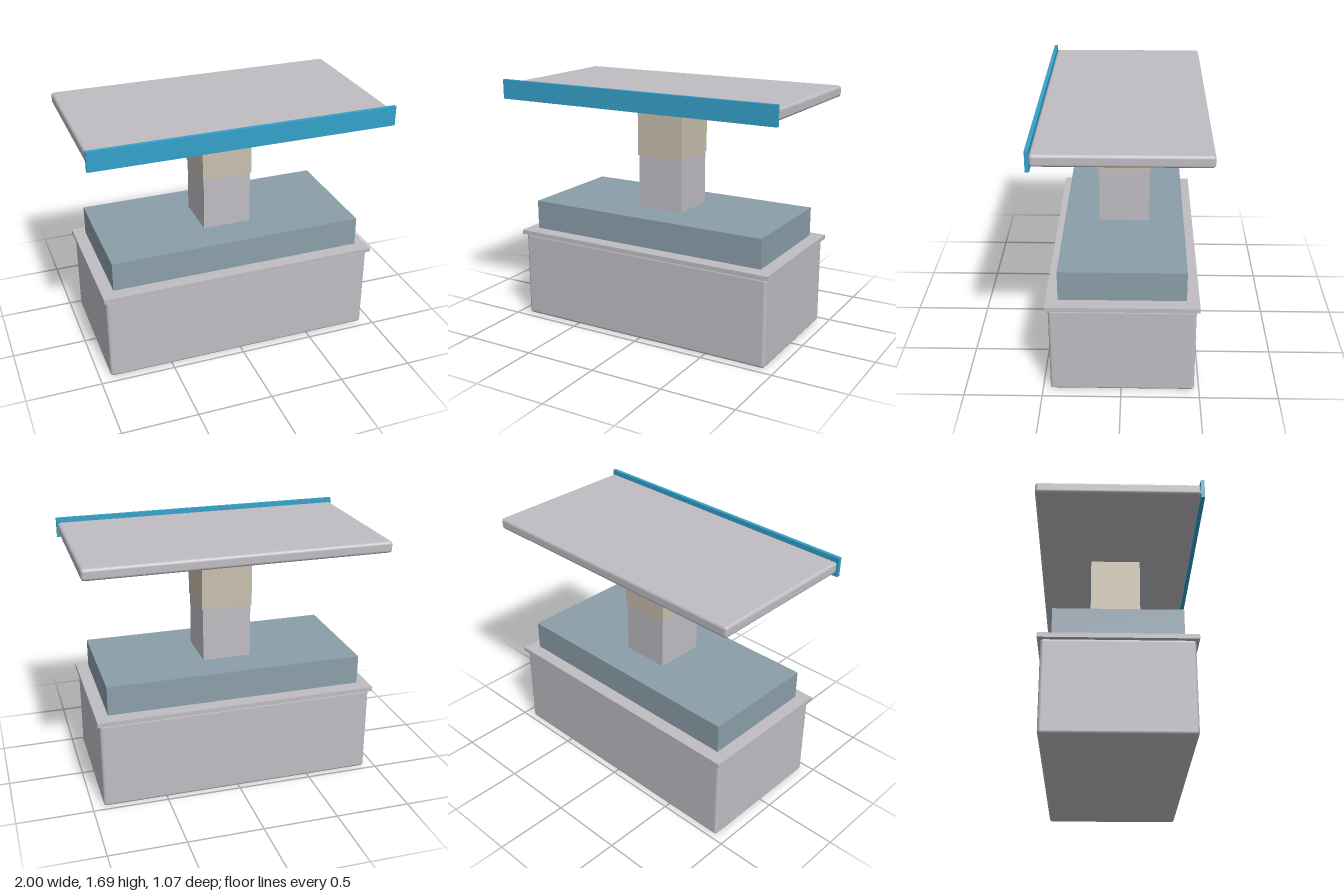
import * as THREE from 'three';
import { RoundedBoxGeometry } from 'three/addons/geometries/RoundedBoxGeometry.js';

const material = (name, color) => new THREE.MeshStandardMaterial({ name, color });

export function createModel() {
  const model = new THREE.Group();
  model.name = 'pedestalTable';

  const steel = material('light grey steel', 0xbfbdc3);
  const slate = material('blue grey', 0x8b9fa9);
  const beige = material('beige', 0xc9bfac);
  const blue = material('bright blue', 0x35a2cb);

  // Box given by width, bottom and top height, back and front depth; radius rounds its edges
  function addBox(name, mat, width, y0, y1, z0, z1, radius = 0) {
    const size = [width, y1 - y0, z1 - z0];
    const geometry = radius
      ? new RoundedBoxGeometry(...size, 3, radius)
      : new THREE.BoxGeometry(...size);
    const mesh = new THREE.Mesh(geometry, mat);
    mesh.name = name;
    mesh.position.set(0, (y0 + y1) / 2, (z0 + z1) / 2);
    model.add(mesh);
  }

  // Base cabinet with its overhanging lid
  addBox('baseCabinet', steel, 1.85, 0, 0.597, -0.468, 0.452, 0.02);
  addBox('baseLid', steel, 1.882, 0.597, 0.627, -0.488, 0.473);

  // Plinth, resting a hair above the lid
  addBox('plinth', slate, 1.72, 0.634, 0.832, -0.407, 0.393);

  // Telescopic column
  addBox('lowerColumn', steel, 0.326, 0.832, 1.21, -0.174, 0.159);
  addBox('upperColumn', beige, 0.34, 1.195, 1.592, -0.179, 0.164);

  // Table top and front fascia
  addBox('tableTop', steel, 1.984, 1.588, 1.664, -0.535, 0.514, 0.02);
  addBox('frontFascia', blue, 2, 1.562, 1.692, 0.511, 0.535);

  return model;
}
